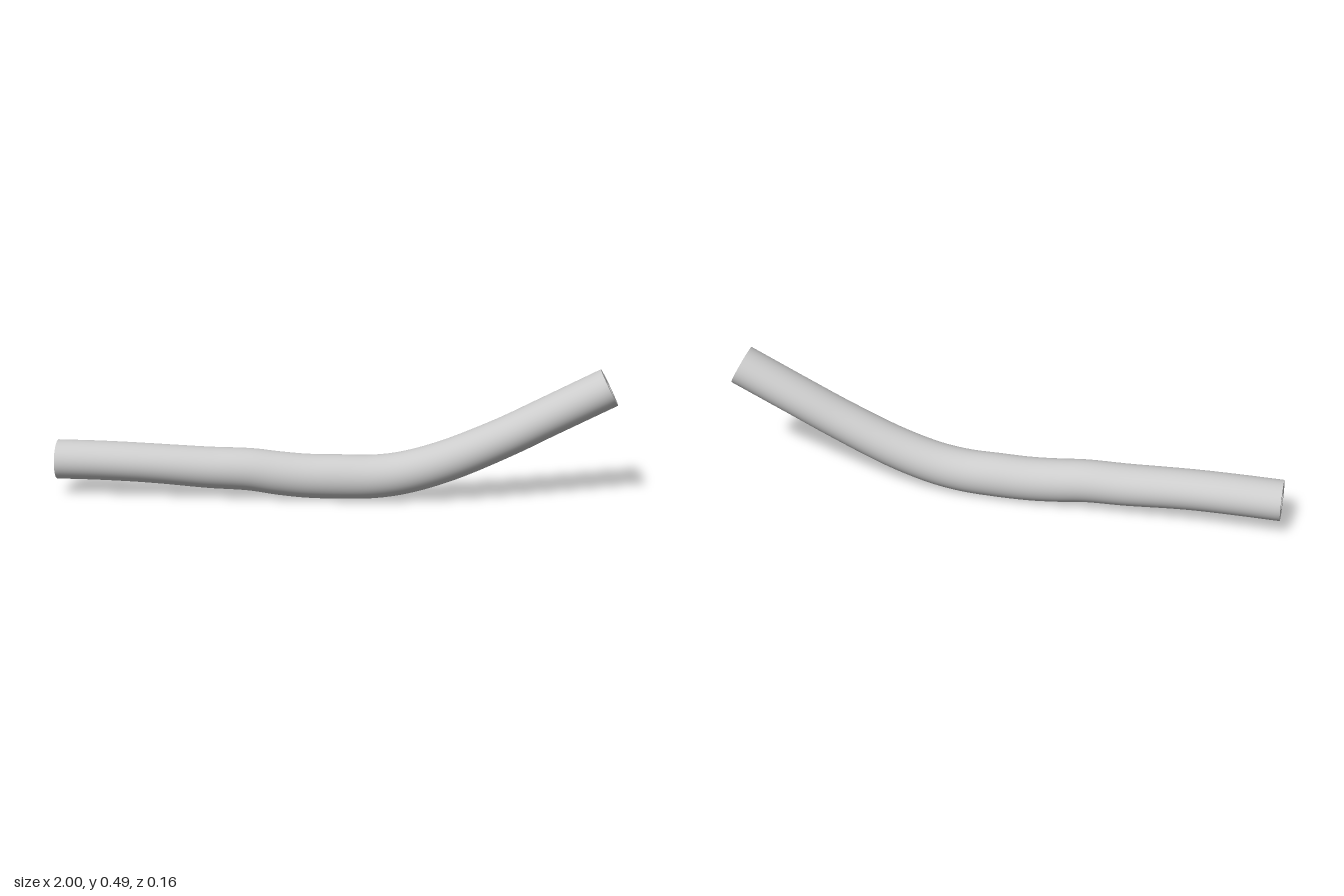
import * as THREE from 'three';

// Stations along the hose: x, y, z of the centre, then half height of the section
const STATIONS = [
  [-1, 0.125, -0.005, 0.07],
  [-0.85, 0.124, -0.002, 0.07],
  [-0.7, 0.12, 0.002, 0.07],
  [-0.6, 0.115, 0.003, 0.071],
  [-0.45, 0.106, 0.003, 0.074],
  [-0.3, 0.101, 0.003, 0.076],
  [-0.2, 0.089, 0.003, 0.078],
  [-0.1, 0.081, 0.003, 0.079],
  [0.02, 0.08, 0.003, 0.08],
  [0.14, 0.083, 0.003, 0.078],
  [0.25, 0.1, 0.003, 0.076],
  [0.4, 0.147, 0.003, 0.074],
  [0.6, 0.236, 0.003, 0.071],
  [0.75, 0.313, 0, 0.07],
  [0.965, 0.424, -0.003, 0.07],
];
const HALF_WIDTH = 0.078;
const BORE = 0.032;
const STEPS = 120;
const SIDES = 48;

// Skins a list of closed rings into one smooth surface
function skin(rings) {
  const pos = [], index = [];
  rings.forEach((ring) => ring.forEach((p) => pos.push(p.x, p.y, p.z)));
  for (let i = 0; i < rings.length - 1; i++) {
    for (let j = 0; j < SIDES; j++) {
      const k = (j + 1) % SIDES;
      const a = i * SIDES + j, b = i * SIDES + k;
      index.push(a, b, a + SIDES, b, b + SIDES, a + SIDES);
    }
  }
  const g = new THREE.BufferGeometry();
  g.setAttribute('position', new THREE.Float32BufferAttribute(pos, 3));
  g.setIndex(index);
  g.computeVertexNormals();
  return g;
}

export function createModel() {
  const group = new THREE.Group();
  group.name = 'hose';
  const material = new THREE.MeshStandardMaterial({ color: 0xcccccc });

  const path = new THREE.CatmullRomCurve3(
    STATIONS.map(([x, y, z]) => new THREE.Vector3(x, y, z)), false, 'centripetal');

  // Elliptical outer rings and round bore rings, square to the path
  const outer = [], inner = [];
  for (let i = 0; i <= STEPS; i++) {
    const t = i / STEPS;
    const centre = path.getPoint(t);
    const tangent = path.getTangent(t);
    const across = new THREE.Vector3(0, 0, 1);
    const up = new THREE.Vector3().crossVectors(across, tangent).normalize();
    const s = t * (STATIONS.length - 1);
    const n = Math.min(Math.floor(s), STATIONS.length - 2);
    const halfHeight = THREE.MathUtils.lerp(STATIONS[n][3], STATIONS[n + 1][3], s - n);
    const ring = (h, w) => Array.from({ length: SIDES }, (_, j) => {
      const a = (j / SIDES) * Math.PI * 2;
      return centre.clone()
        .addScaledVector(up, h * Math.cos(a))
        .addScaledVector(across, w * Math.sin(a));
    });
    outer.push(ring(halfHeight, HALF_WIDTH));
    inner.push(ring(BORE, BORE));
  }

  const parts = {
    outerWall: outer,
    rightEndFace: [outer[STEPS], inner[STEPS]],
    bore: inner.slice().reverse(),
    leftEndFace: [inner[0], outer[0]],
  };
  for (const [name, rings] of Object.entries(parts)) {
    const mesh = new THREE.Mesh(skin(rings), material);
    mesh.name = name;
    group.add(mesh);
  }
  return group;
}
